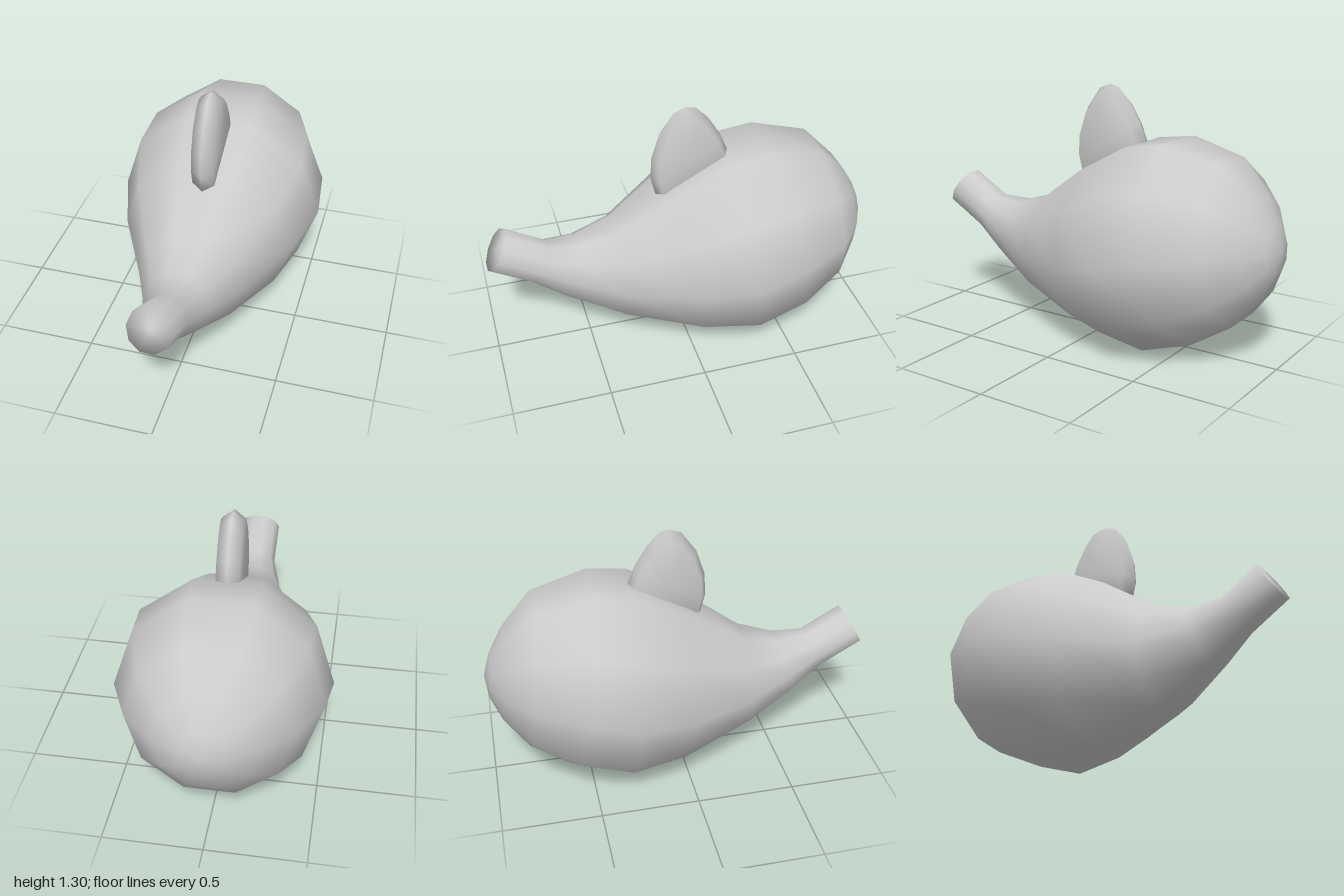
import * as THREE from 'three';

const SIDES = 10;

// Smooth closed skin through loops of equal length, with a centre point at each end.
// Each loop runs counter-clockwise when seen from the start end.
function loft(name, start, loops, end) {
  const n = loops[0].length;
  const points = [start, ...loops.flat(), end];
  const last = points.length - 1;
  const index = [];
  for (let j = 0; j < n; j++) {
    const k = (j + 1) % n;
    index.push(0, 1 + j, 1 + k);
    for (let i = 0; i < loops.length - 1; i++) {
      const a = 1 + i * n, b = a + n;
      index.push(a + j, b + j, a + k, a + k, b + j, b + k);
    }
    index.push(last, last - n + k, last - n + j);
  }
  const geometry = new THREE.BufferGeometry().setFromPoints(points);
  geometry.setIndex(index);
  geometry.computeVertexNormals();
  const mesh = new THREE.Mesh(geometry, new THREE.MeshStandardMaterial({ color: 0xcccccc }));
  mesh.name = name;
  return mesh;
}

// Tilted ten-sided ring from its top and bottom points in the side plane
function bodyRing([topZ, topY, bottomZ, bottomY, halfWidth]) {
  const flat = Math.sin(Math.PI * 0.4);
  return Array.from({ length: SIDES }, (_, i) => {
    const angle = (i / SIDES) * Math.PI * 2;
    const s = Math.sin(angle) / flat / 2;
    return new THREE.Vector3(
      halfWidth * Math.cos(angle),
      (topY + bottomY) / 2 + s * (topY - bottomY),
      (topZ + bottomZ) / 2 + s * (topZ - bottomZ)
    );
  });
}

export function createModel() {
  const model = new THREE.Group();
  model.name = 'model';

  // Pear-shaped body drawn out into an upturned snout: top z, y, bottom z, y, half width
  const rings = [
    [0.89, 0.745, 1.0, 0.555, 0.115],
    [0.69, 0.63, 0.79, 0.435, 0.115],
    [0.53, 0.625, 0.62, 0.31, 0.167],
    [0.34, 0.68, 0.34, 0.15, 0.268],
    [0.05, 0.88, -0.06, 0.03, 0.45],
    [-0.23, 1.03, -0.34, 0.003, 0.542],
    [-0.44, 1.06, -0.61, 0.09, 0.518],
    [-0.73, 0.99, -0.81, 0.215, 0.408],
    [-0.88, 0.84, -0.93, 0.365, 0.25],
    [-0.96, 0.71, -0.985, 0.485, 0.12]
  ].map(bodyRing);
  model.add(loft('body',
    new THREE.Vector3(0, 0.65, 0.945), rings, new THREE.Vector3(0, 0.6, -1)));

  // Upright fin with a bevelled rim, its foot sunk into the back: z, y
  const outline = [
    [0.12, 0.83], [0.145, 0.93], [0.138, 1.05], [0.095, 1.18], [0.02, 1.285], [-0.04, 1.308],
    [-0.09, 1.296], [-0.15, 1.235], [-0.215, 1.13], [-0.26, 1.02], [-0.22, 0.86], [-0.05, 0.78]
  ];
  const centreZ = -0.06, centreY = 1.02;
  const finLoop = (x, scale) => outline.map(([z, y]) => new THREE.Vector3(
    x, centreY + (y - centreY) * scale, centreZ + (z - centreZ) * scale));
  model.add(loft('fin',
    new THREE.Vector3(-0.052, centreY, centreZ),
    [finLoop(-0.052, 0.85), finLoop(0.005, 1), finLoop(0.062, 0.85)],
    new THREE.Vector3(0.062, centreY, centreZ)));

  return model;
}
